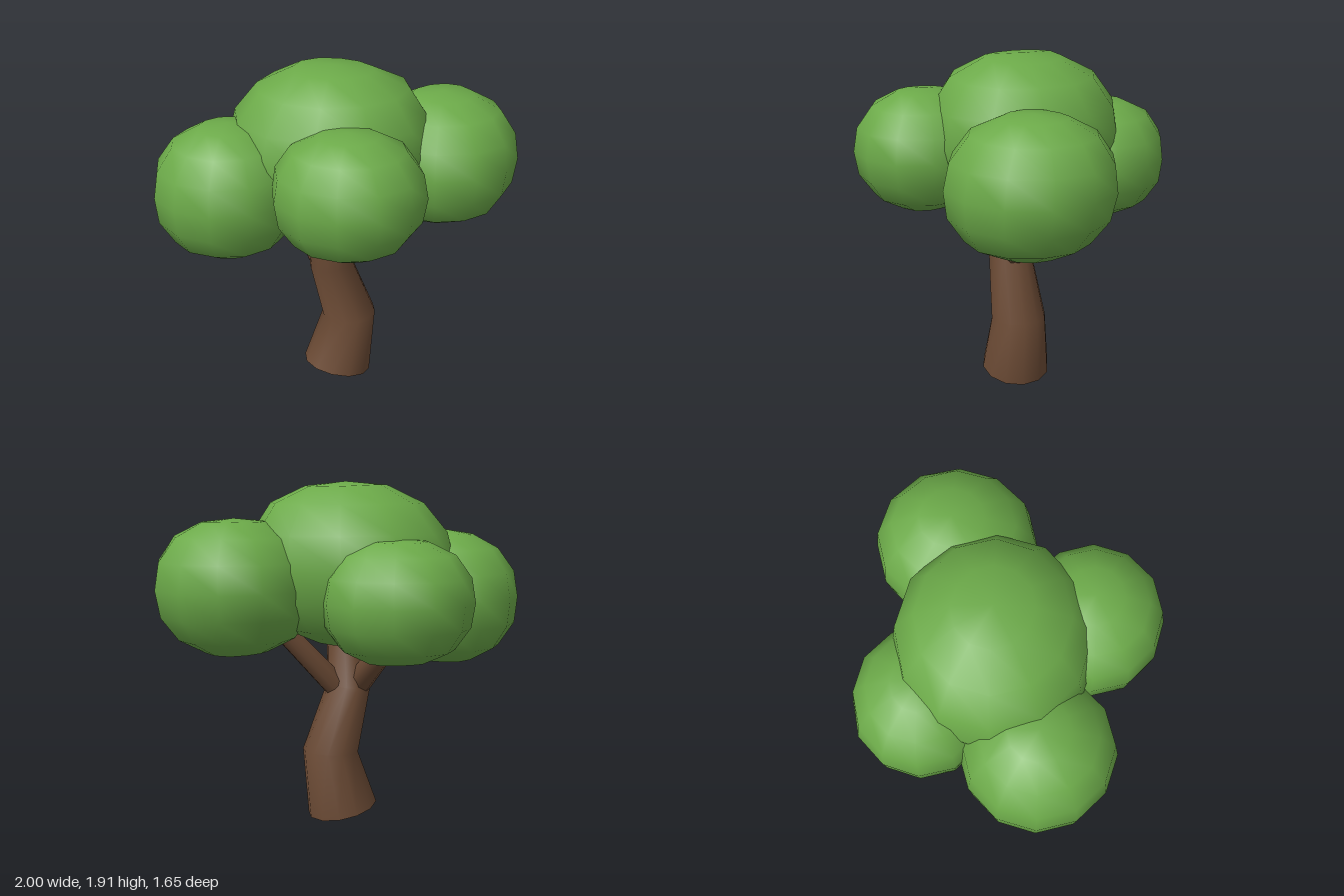
import * as THREE from 'three';
import { mergeVertices } from 'three/addons/utils/BufferGeometryUtils.js';

const bark = new THREE.MeshStandardMaterial({ color: 0x6c4b35, side: THREE.DoubleSide });
bark.name = 'bark brown';
const leaf = new THREE.MeshStandardMaterial({ color: 0x6caa49 });
leaf.name = 'leaf green';

// Weld seams and smooth the normals
function smooth(geometry) {
  geometry.deleteAttribute('uv');
  geometry.deleteAttribute('normal');
  const welded = mergeVertices(geometry, 1e-4);
  welded.computeVertexNormals();
  return welded;
}

// Tapered open tube through rings of [x, y, z, radius, slope along x, slope along z]
function limb(name, rings, sides) {
  const n = rings.length - 1;
  const geometry = new THREE.CylinderGeometry(1, 1, n, sides, n, true);
  const p = geometry.attributes.position;
  for (let i = 0; i < p.count; i++) {
    const [x, y, z, r, sx = 0, sz = 0] = rings[Math.round(p.getY(i) + n / 2)];
    const dx = p.getX(i) * r, dz = p.getZ(i) * r;
    p.setXYZ(i, x + dx, y + dx * sx + dz * sz, z + dz);
  }
  const mesh = new THREE.Mesh(smooth(geometry), bark);
  mesh.name = name;
  return mesh;
}

// Straight branch between two points
function branch(name, from, to, r0, r1) {
  const a = new THREE.Vector3(...from), b = new THREE.Vector3(...to);
  const dir = b.clone().sub(a);
  const geometry = smooth(new THREE.CylinderGeometry(r1, r0, dir.length(), 8, 1));
  const mesh = new THREE.Mesh(geometry, bark);
  mesh.quaternion.setFromUnitVectors(new THREE.Vector3(0, 1, 0), dir.normalize());
  mesh.position.copy(a).add(b).multiplyScalar(0.5);
  mesh.name = name;
  return mesh;
}

// Full, slightly lumpy low-poly leaf ball; lean shifts its upper half along x and z
function foliage(name, centre, radii, lean, seed) {
  const geometry = new THREE.SphereGeometry(1, 12, 8);
  const p = geometry.attributes.position;
  const v = new THREE.Vector3();
  for (let i = 0; i < p.count; i++) {
    v.fromBufferAttribute(p, i);
    const flat = Math.hypot(v.x, v.z);
    const full = 1 / Math.pow(Math.pow(flat, 2.3) + Math.pow(Math.abs(v.y), 2.3), 1 / 2.3);
    const lump = 1 + 0.015 * Math.sin(v.x * 5 + seed) * Math.cos(v.z * 4 + seed * 2) * Math.cos(v.y * 3);
    v.multiplyScalar(full * lump);
    p.setXYZ(i, v.x * radii[0] + v.y * lean[0], v.y * radii[1], v.z * radii[2] + v.y * lean[1]);
  }
  const mesh = new THREE.Mesh(smooth(geometry), leaf);
  mesh.position.set(...centre);
  mesh.name = name;
  return mesh;
}

export function createModel() {
  const tree = new THREE.Group();
  tree.name = 'tree';

  // Crooked trunk, open at its tilted foot
  tree.add(limb('trunk', [
    [-0.005, 0.045, -0.053, 0.197, -0.18, 0.12],
    [0.06, 0.39, -0.09, 0.158, 0.05, -0.04],
    [-0.035, 0.75, -0.008, 0.124, 0.12, -0.08],
    [-0.012, 1.12, 0.03, 0.1],
  ], 12));

  // Three branches reaching into the crown
  tree.add(
    branch('frontBranch', [0.015, 0.9, 0.04], [0.04, 1.25, 0.36], 0.065, 0.05),
    branch('rightBackBranch', [0.04, 0.77, -0.06], [0.42, 1.22, -0.24], 0.07, 0.055),
    branch('backBranch', [-0.1, 0.78, -0.03], [-0.36, 1.16, -0.31], 0.075, 0.06),
  );

  // Crown of five leaf balls
  const balls = [
    ['topFoliage', [-0.055, 1.455, -0.08], [0.575, 0.46, 0.54], [0.03, 0], 0.5],
    ['sideFoliage', [-0.58, 1.255, 0.17], [0.42, 0.38, 0.42], [0.01, 0], 1.7],
    ['frontFoliage', [0.13, 1.38, 0.44], [0.41, 0.34, 0.39], [0, 0], 2.9],
    ['rightBackFoliage', [0.56, 1.345, -0.3], [0.44, 0.375, 0.45], [0, -0.02], 4.1],
    ['backFoliage', [-0.33, 1.29, -0.45], [0.41, 0.335, 0.38], [0, 0], 5.3],
  ];
  for (const ball of balls) tree.add(foliage(...ball));

  return tree;
}
